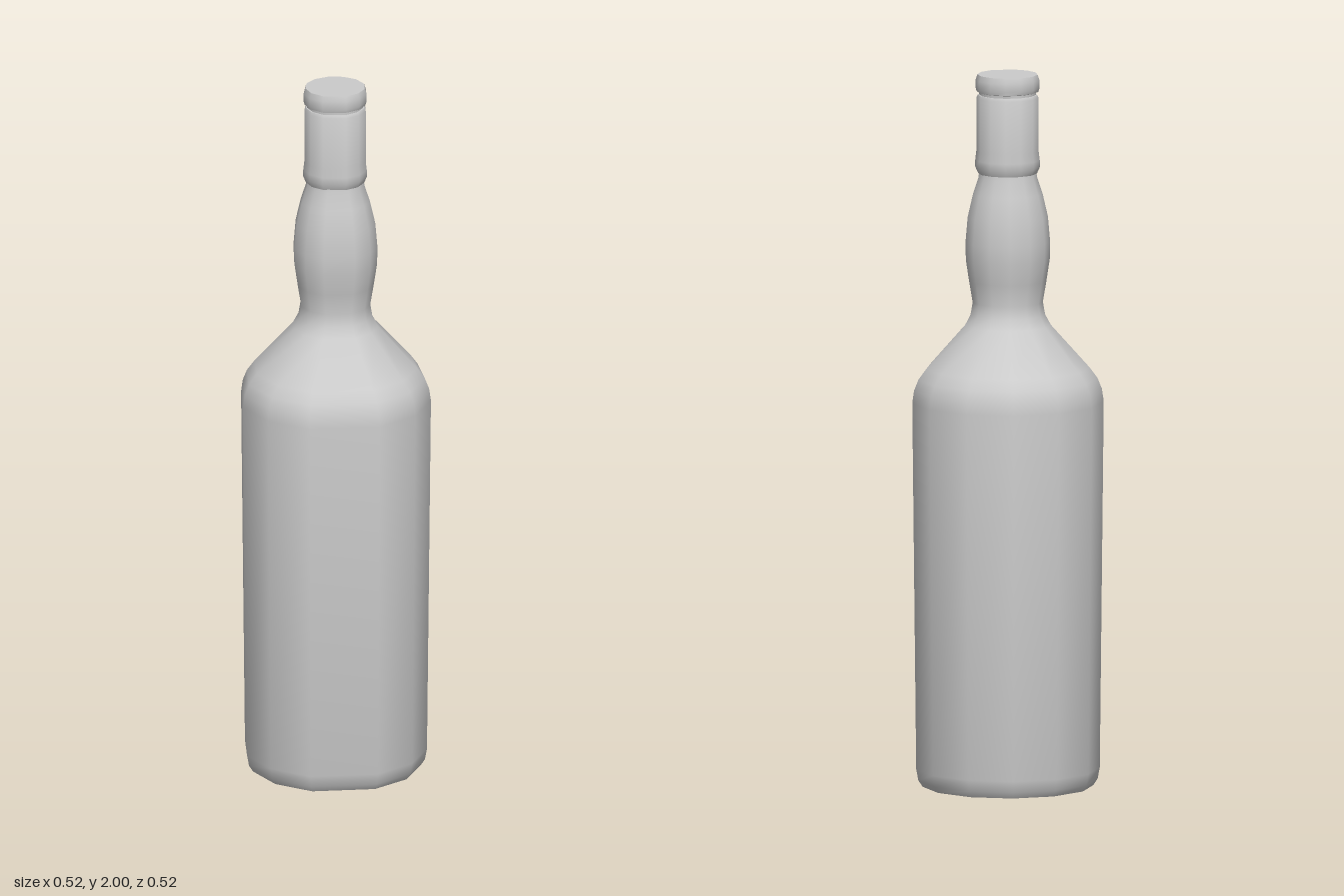
import * as THREE from 'three';
import { toCreasedNormals } from 'three/addons/utils/BufferGeometryUtils.js';

const SIDES = 12;
const STEP = 28.8; // eleven even facets; the twelfth closes the wider remaining gap
const material = new THREE.MeshStandardMaterial({ color: 0xcccccc });

// Turns a [radius, height] profile (bottom to top) around the unevenly faceted ring.
function turned(name, profile, startDeg) {
  const positions = [], index = [];
  for (const [r, y] of profile) {
    for (let j = 0; j < SIDES; j++) {
      const a = THREE.MathUtils.degToRad(startDeg + j * STEP);
      positions.push(r * Math.cos(a), y, r * Math.sin(a));
    }
  }
  for (let i = 0; i < profile.length - 1; i++) {
    for (let j = 0; j < SIDES; j++) {
      const k = (j + 1) % SIDES;
      const a = i * SIDES + j, b = i * SIDES + k;
      const c = a + SIDES, d = b + SIDES;
      if (profile[i][0] > 0) index.push(a, c, b);
      if (profile[i + 1][0] > 0) index.push(b, c, d);
    }
  }
  const geometry = new THREE.BufferGeometry();
  geometry.setAttribute('position', new THREE.Float32BufferAttribute(positions, 3));
  geometry.setIndex(index);
  const mesh = new THREE.Mesh(toCreasedNormals(geometry, 0.8), material);
  mesh.name = name;
  return mesh;
}

export function createModel() {
  const group = new THREE.Group();
  group.name = 'bottle';

  // Body, sloping shoulder and bulging neck
  group.add(turned('bottleBody', [
    [0, 0], [0.238, 0], [0.25, 0.018], [0.256, 0.05],
    [0.267, 1.08], [0.262, 1.115], [0.25, 1.145], [0.228, 1.175],
    [0.12, 1.295], [0.104, 1.325], [0.098, 1.36],
    [0.108, 1.42], [0.117, 1.48], [0.118, 1.53], [0.112, 1.6],
    [0.097, 1.665], [0.082, 1.71], [0.078, 1.74],
  ], 140.4));

  // Sleeve wrapped around the top of the neck
  group.add(turned('neckSleeve', [
    [0.07, 1.72], [0.082, 1.722], [0.09, 1.74], [0.09, 1.76],
    [0.087, 1.785], [0.087, 1.935], [0.083, 1.943], [0, 1.943],
  ], 147.8));

  // Stopper cap, set above a narrow groove
  group.add(turned('cap', [
    [0.079, 1.935], [0.079, 1.95], [0.086, 1.952], [0.089, 1.962],
    [0.089, 1.985], [0.084, 2], [0, 2],
  ], 147.8));

  group.position.z = -0.004;
  const model = new THREE.Group();
  model.add(group);
  return model;
}
